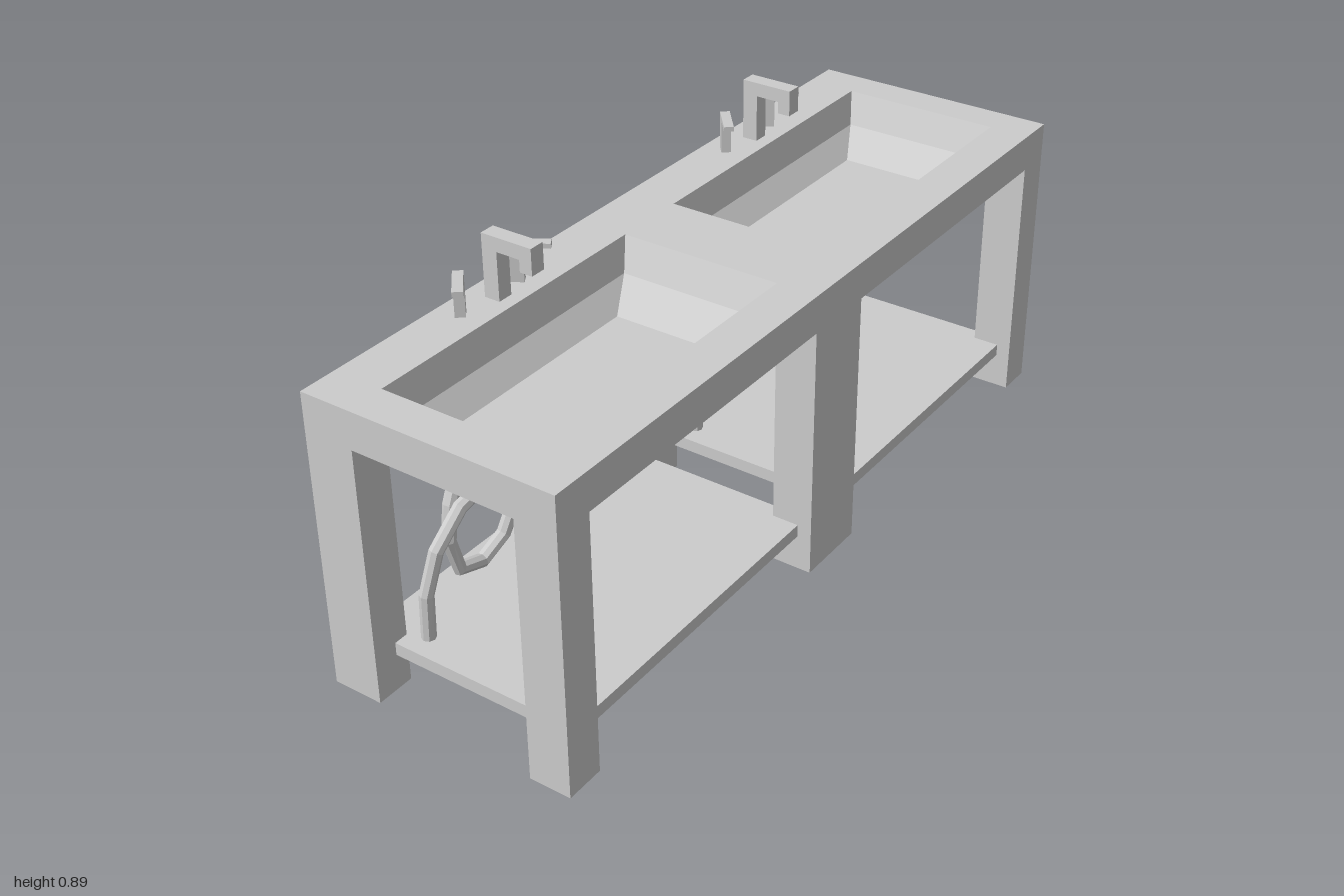
import * as THREE from 'three';

const TOP = 0.74, UNDER = 0.647;          // counter slab heights
const WIDE = 0.321;                       // half width of the table
const X0 = -0.194, X1 = 0.217;            // opening between the legs
const HALF = 0.405;                       // half length of one bay
const BAYS = [0.497, -0.503];             // bay centres along z

const grey = new THREE.MeshStandardMaterial({ color: 0xcccccc, flatShading: true });
const greyDouble = new THREE.MeshStandardMaterial({ color: 0xcccccc, flatShading: true, side: THREE.DoubleSide });

function add(parent, name, geometry, material = grey) {
  const mesh = new THREE.Mesh(geometry, material);
  mesh.name = name;
  parent.add(mesh);
  return mesh;
}

// Box given by its limits on each axis
function box(parent, name, x0, x1, y0, y1, z0, z1) {
  const mesh = add(parent, name, new THREE.BoxGeometry(x1 - x0, y1 - y0, z1 - z0));
  mesh.position.set((x0 + x1) / 2, (y0 + y1) / 2, (z0 + z1) / 2);
  return mesh;
}

// Hollow leg: a box without its top and bottom faces
function leg(parent, name, x0, x1, z0, z1) {
  const mesh = box(parent, name, x0, x1, 0, UNDER, z0, z1);
  const index = [...mesh.geometry.index.array];
  mesh.geometry.setIndex([...index.slice(0, 12), ...index.slice(24)]);
  mesh.geometry.clearGroups();
  mesh.material = greyDouble;
}

// Extruded outline in the xy plane, centred on z = 0
function profile(points, depth) {
  const shape = new THREE.Shape(points.map(([x, y]) => new THREE.Vector2(x, y)));
  return new THREE.ExtrudeGeometry(shape, { depth, bevelEnabled: false }).translate(0, 0, -depth / 2);
}

function rect(Type, x0, x1, y0, y1) {
  return new Type([[x0, y0], [x1, y0], [x1, y1], [x0, y1]].map(([x, y]) => new THREE.Vector2(x, y)));
}

// Sink bowl shell hanging from height y: rectangular rings joined downward, closed by a floor
function bowlGeometry(y) {
  const rings = [
    [X0, X1, y, HALF],
    [-0.172, 0.197, y - 0.077, 0.368],
    [-0.125, 0.15, y - 0.132, 0.276],
  ].map(([x0, x1, h, z]) => [[x0, h, z], [x1, h, z], [x1, h, -z], [x0, h, -z]]);
  const positions = [];
  const quad = (a, b, c, d) => positions.push(...a, ...b, ...c, ...a, ...c, ...d);
  for (let r = 0; r < 2; r++) {
    for (let i = 0; i < 4; i++) {
      const j = (i + 1) % 4;
      quad(rings[r][i], rings[r][j], rings[r + 1][j], rings[r + 1][i]);
    }
  }
  quad(...rings[2]);
  const geometry = new THREE.BufferGeometry();
  geometry.setAttribute('position', new THREE.Float32BufferAttribute(positions, 3));
  geometry.computeVertexNormals();
  return geometry;
}

// Looped drain hose, one tube section per path point; z is relative to the bay
function hoseGeometry() {
  const path = [
    [-0.149, 0.1, 0.385], [-0.145, 0.235, 0.384], [-0.134, 0.335, 0.355],
    [-0.122, 0.412, 0.285], [-0.116, 0.44, 0.185], [-0.121, 0.4, 0.122],
    [-0.131, 0.325, 0.099], [-0.142, 0.248, 0.132], [-0.148, 0.213, 0.2],
    [-0.149, 0.235, 0.272], [-0.149, 0.325, 0.299], [-0.149, 0.41, 0.285],
    [-0.149, 0.575, 0.213],
  ].map(p => new THREE.Vector3(...p));
  const curve = new THREE.CatmullRomCurve3(path);
  curve.getPointAt = curve.getPoint;
  curve.getTangentAt = curve.getTangent;
  return new THREE.TubeGeometry(curve, path.length - 1, 0.017, 8);
}

export function createModel() {
  const model = new THREE.Group();
  model.name = 'doubleSinkTable';

  // Counter slab with two openings
  const outline = rect(THREE.Shape, -WIDE, WIDE, -1, 1);
  for (const z of BAYS) outline.holes.push(rect(THREE.Path, X0, X1, -z - HALF, -z + HALF));
  const slab = new THREE.ExtrudeGeometry(outline, { depth: TOP - UNDER, bevelEnabled: false });
  add(model, 'counter', slab.rotateX(-Math.PI / 2).translate(0, UNDER, 0));

  // Three pairs of legs
  const [front, back] = BAYS;
  for (const [z0, z1] of [[front + HALF, 1], [back + HALF, front - HALF], [-1, back - HALF]]) {
    leg(model, 'rightLeg', -WIDE, X0, z0, z1);
    leg(model, 'leftLeg', X1, WIDE, z0, z1);
  }

  // Everything that repeats in each bay
  for (const z of BAYS) {
    const bay = new THREE.Group();
    bay.name = 'sinkBay';
    bay.position.z = z;
    model.add(bay);

    // Shelf whose corners run into the legs
    box(bay, 'shelf', -0.277, 0.285, 0.09, 0.122, -HALF - 0.036, HALF + 0.036);

    // Thick sink: upper and lower shells
    add(bay, 'bowlInside', bowlGeometry(TOP), greyDouble);
    add(bay, 'bowlUnderside', bowlGeometry(UNDER), greyDouble);
    add(bay, 'drainHose', hoseGeometry(), greyDouble);

    // Square spout
    const spout = profile([
      [-0.268, TOP], [-0.228, TOP], [-0.228, 0.86], [-0.166, 0.86],
      [-0.166, 0.83], [-0.133, 0.83], [-0.133, 0.895], [-0.268, 0.895],
    ], 0.04);
    add(bay, 'spout', spout).position.z = -0.02;

    // Two angled tap handles
    for (const [hz, angle] of [[-0.09, 33], [0.073, -50]]) {
      const tap = profile([
        [0, TOP], [0.034, TOP], [0.034, 0.823], [0.095, 0.823], [0.095, 0.835], [0, 0.835],
      ], 0.024);
      const handle = add(bay, 'tapHandle', tap);
      handle.position.set(-0.274, 0, hz);
      handle.rotation.y = THREE.MathUtils.degToRad(angle);
    }
  }
  return model;
}
